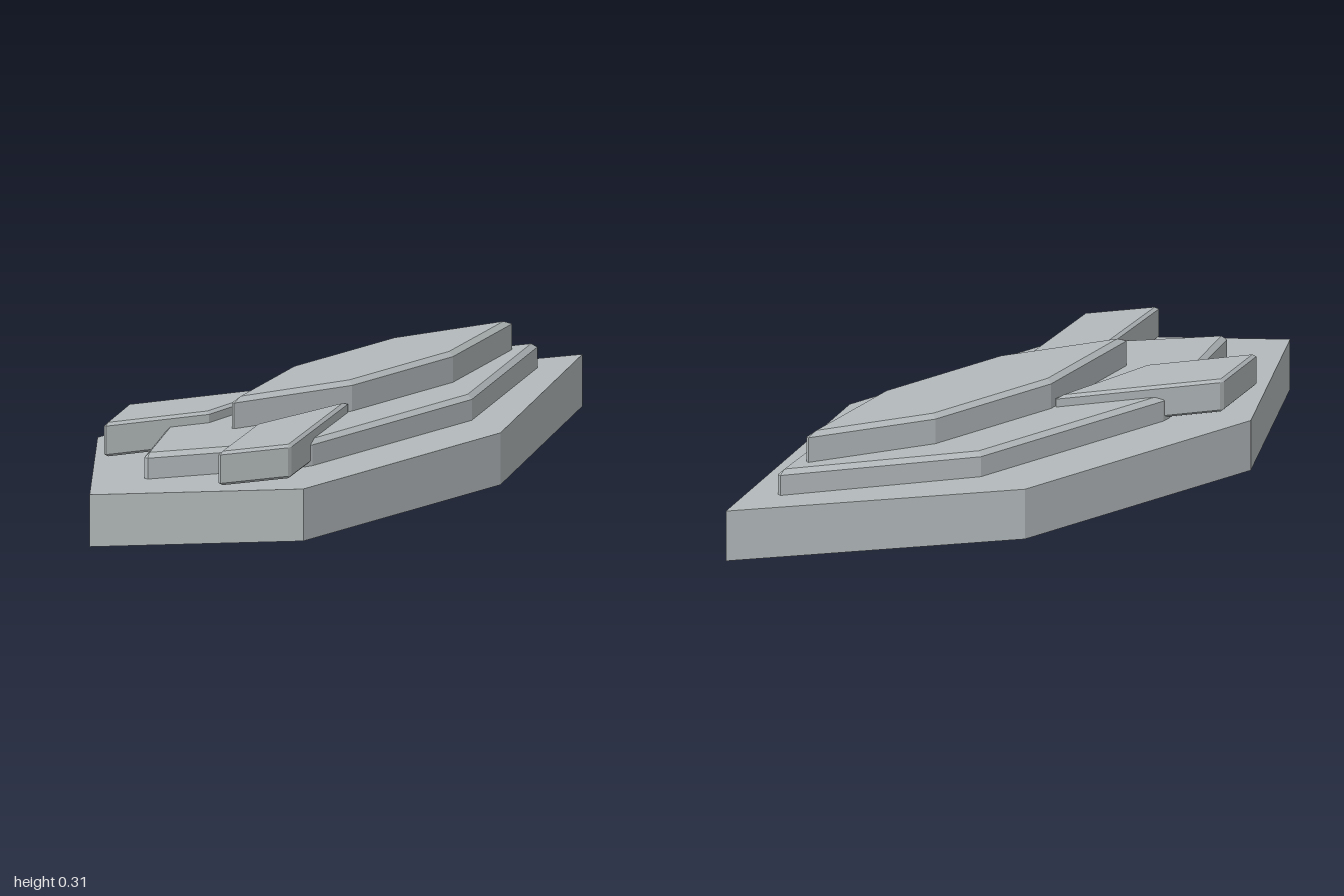
import * as THREE from 'three';

// Plate with flat facets: outline [x, z], from y0 to y1, all edges chamfered by d.
// Upright edges are only cut where the outline turns by more than 30 degrees.
function plateGeometry(outline, y0, y1, d) {
  const pts = outline.map(([x, z]) => new THREE.Vector2(x, z));
  const n = pts.length;
  const wall = [], cap = [];
  pts.forEach((p, i) => {
    const e1 = p.clone().sub(pts[(i + n - 1) % n]).normalize();
    const e2 = pts[(i + 1) % n].clone().sub(p).normalize();
    const n1 = new THREE.Vector2(-e1.y, e1.x);
    const n2 = new THREE.Vector2(-e2.y, e2.x);
    const cut = e1.dot(e2) < Math.cos(Math.PI / 6) ? d : 0;
    const inset = n1.clone().add(n2).multiplyScalar(d / (1 + n1.dot(n2))).add(p);
    wall.push(p.clone().addScaledVector(e1, -cut), p.clone().addScaledVector(e2, cut));
    cap.push(inset, inset);
  });

  const ring = (list, y) => list.map((p) => new THREE.Vector3(p.x, y, p.y));
  const rings = [ring(cap, y0), ring(wall, y0 + d), ring(wall, y1 - d), ring(cap, y1)];
  const pos = [];
  const tri = (a, b, c) => {
    const area = b.clone().sub(a).cross(c.clone().sub(a)).length();
    if (area > 1e-9) for (const v of [a, b, c]) pos.push(v.x, v.y, v.z);
  };
  const m = wall.length;
  for (let r = 0; r < 3; r++) {
    for (let i = 0; i < m; i++) {
      const j = (i + 1) % m, lo = rings[r], up = rings[r + 1];
      tri(lo[i], up[i], up[j]);
      tri(lo[i], up[j], lo[j]);
    }
  }
  for (let i = 1; i < m - 1; i++) {
    tri(rings[3][0], rings[3][i + 1], rings[3][i]);
    tri(rings[0][0], rings[0][i], rings[0][i + 1]);
  }
  const geometry = new THREE.BufferGeometry();
  geometry.setAttribute('position', new THREE.Float32BufferAttribute(pos, 3));
  geometry.computeVertexNormals();
  return geometry;
}

// Stretched hexagon pointing along x
const hexagon = (left, xl, xr, right, z) =>
  [[right, 0], [xr, z], [xl, z], [left, 0], [xl, -z], [xr, -z]];

export function createModel() {
  const model = new THREE.Group();
  model.name = 'layeredPlates';
  const grey = new THREE.MeshStandardMaterial({ color: 0xb4babc });
  grey.name = 'light grey';

  const add = (name, outline, y0, y1, d) => {
    const mesh = new THREE.Mesh(plateGeometry(outline, y0, y1, d), grey);
    mesh.name = name;
    model.add(mesh);
  };

  // Stacked hexagonal layers
  add('base', hexagon(-1, -0.55, 0.25, 1, 0.392), 0, 0.15, 0);
  add('middlePlate', hexagon(-0.782, -0.37, 0.29, 0.823, 0.245), 0.13, 0.223, 0.013);
  add('topPlate', hexagon(-0.43, -0.06, 0.35, 0.723, 0.117), 0.2, 0.31, 0.013);

  // Swept fins, mirrored front to back
  const fin = [[-0.07, 0.115], [-0.515, 0.311], [-0.712, 0.218], [-0.42, 0.09]];
  add('frontFin', fin, 0.157, 0.255, 0.008);
  add('backFin', fin.map(([x, z]) => [x, -z]).reverse(), 0.157, 0.255, 0.008);

  return model;
}
